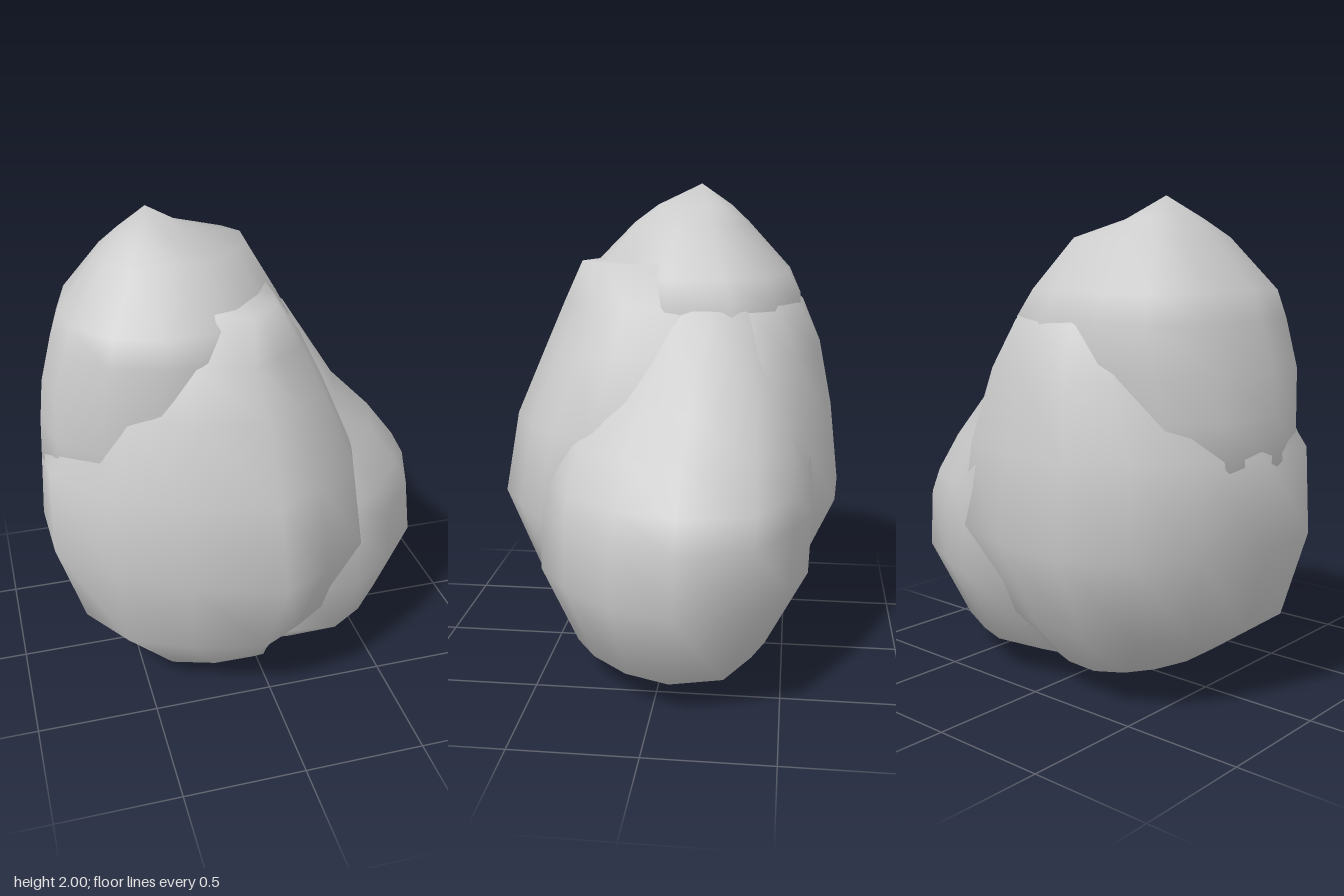
import * as THREE from 'three';

// Smooth closed lobe: one plan outline [x, z] is fitted into the box of each ring.
// Rings: [y, xMin, xMax, zMin, zMax, fill]; fill swells the -x +z corner inside the box.
// bottom and top are the closing points.
function lobe(name, outline, bottom, rings, top) {
  const n = outline.length;
  const box = new THREE.Box2().setFromPoints(outline.map(([x, z]) => new THREE.Vector2(x, z)));
  const mid = box.getCenter(new THREE.Vector2());
  const size = box.getSize(new THREE.Vector2());
  const pos = [...bottom];
  const index = [];
  for (const [y, x0, x1, z0, z1, fill = 0] of rings) {
    for (const [x, z] of outline) {
      const u = 2 * (x - mid.x) / size.x;
      const v = 2 * (z - mid.y) / size.y;
      const swell = 1 + fill * Math.max(0, -u) * Math.max(0, v);
      pos.push(
        (x0 + x1) / 2 + Math.max(-1, u * swell) * (x1 - x0) / 2,
        y,
        (z0 + z1) / 2 + Math.min(1, v * swell) * (z1 - z0) / 2,
      );
    }
  }
  pos.push(...top);
  const last = pos.length / 3 - 1;
  const at = (r, i) => 1 + r * n + (i % n);
  for (let i = 0; i < n; i++) {
    index.push(0, at(0, i), at(0, i + 1));
    for (let r = 0; r < rings.length - 1; r++) {
      index.push(at(r, i), at(r + 1, i), at(r + 1, i + 1));
      index.push(at(r, i), at(r + 1, i + 1), at(r, i + 1));
    }
    index.push(at(rings.length - 1, i), last, at(rings.length - 1, i + 1));
  }
  const geo = new THREE.BufferGeometry();
  geo.setAttribute('position', new THREE.Float32BufferAttribute(pos, 3));
  geo.setIndex(index);
  geo.computeVertexNormals();
  const mesh = new THREE.Mesh(geo, new THREE.MeshStandardMaterial({ color: 0xcccccc }));
  mesh.name = name;
  return mesh;
}

// Plan outlines, running from +x through +z
const mainOutline = [
  [0.46, 0], [0.45, 0.3], [0.39, 0.49], [0.2, 0.62], [0, 0.73], [-0.36, 0.61], [-0.63, 0.45],
  [-0.84, 0.21], [-0.85, -0.1], [-0.75, -0.39], [-0.59, -0.6], [-0.35, -0.73], [-0.02, -0.71],
  [0.31, -0.6], [0.44, -0.4],
];
const upperOutline = [
  [0.24, -0.25], [0.22, 0.02], [0.1, 0.21], [-0.06, 0.37], [-0.25, 0.43], [-0.42, 0.42],
  [-0.62, 0.34], [-0.77, 0.18], [-0.82, -0.02], [-0.76, -0.28], [-0.6, -0.45], [-0.4, -0.52],
  [-0.1, -0.52], [0.14, -0.42],
];
const sideOutline = [
  [0.85, -0.1], [0.76, 0.15], [0.58, 0.36], [0.39, 0.49], [0.05, 0.45], [-0.2, -0.05],
  [0, -0.55], [0.31, -0.6], [0.5, -0.53], [0.77, -0.39],
];

export function createModel() {
  const group = new THREE.Group();
  group.name = 'boulder';

  // Broad main body of the boulder
  group.add(lobe('mainLobe', mainOutline, [0.02, 0, 0.1], [
    [0.005, -0.05, 0.08, -0.1, 0.29],
    [0.1, -0.42, 0.16, -0.36, 0.4, 0.9],
    [0.32, -0.73, 0.32, -0.57, 0.6, 0.25],
    [0.68, -0.85, 0.46, -0.73, 0.73],
    [1.03, -0.83, 0.42, -0.69, 0.67, 0.15],
    [1.33, -0.64, 0.3, -0.63, 0.54, 0.4],
    [1.52, -0.55, 0.21, -0.55, 0.46, 0.4],
    [1.69, -0.33, 0.1, -0.36, 0.38],
  ], [-0.1, 1.68, -0.05]));

  // Upper lobe leaning to one side
  group.add(lobe('upperLobe', upperOutline, [-0.35, 0.6, -0.05], [
    [0.75, -0.72, 0, -0.4, 0.3],
    [1.0, -0.84, 0.12, -0.48, 0.4],
    [1.17, -0.83, 0.2, -0.51, 0.41, 0.05],
    [1.34, -0.81, 0.24, -0.54, 0.42, 0.12],
    [1.53, -0.76, 0.23, -0.54, 0.41, 0.12],
    [1.64, -0.72, 0.17, -0.49, 0.38, 0.12],
    [1.84, -0.56, 0.05, -0.31, 0.18, 0.12],
    [1.91, -0.47, -0.2, -0.23, 0.09],
  ], [-0.35, 2, -0.1]));

  // Low side lobe tapering upward into the body
  group.add(lobe('sideLobe', sideOutline, [0.17, 0, 0.05], [
    [0.005, 0, 0.33, -0.1, 0.2],
    [0.14, -0.1, 0.7, -0.43, 0.35],
    [0.47, -0.2, 0.85, -0.6, 0.49],
    [0.72, -0.2, 0.82, -0.61, 0.49],
    [0.83, -0.2, 0.76, -0.61, 0.48],
    [1.0, -0.2, 0.63, -0.59, 0.45],
    [1.17, -0.2, 0.46, -0.56, 0.36],
    [1.52, -0.2, 0.24, -0.43, 0.12],
  ], [0, 1.56, -0.13]));

  return group;
}
